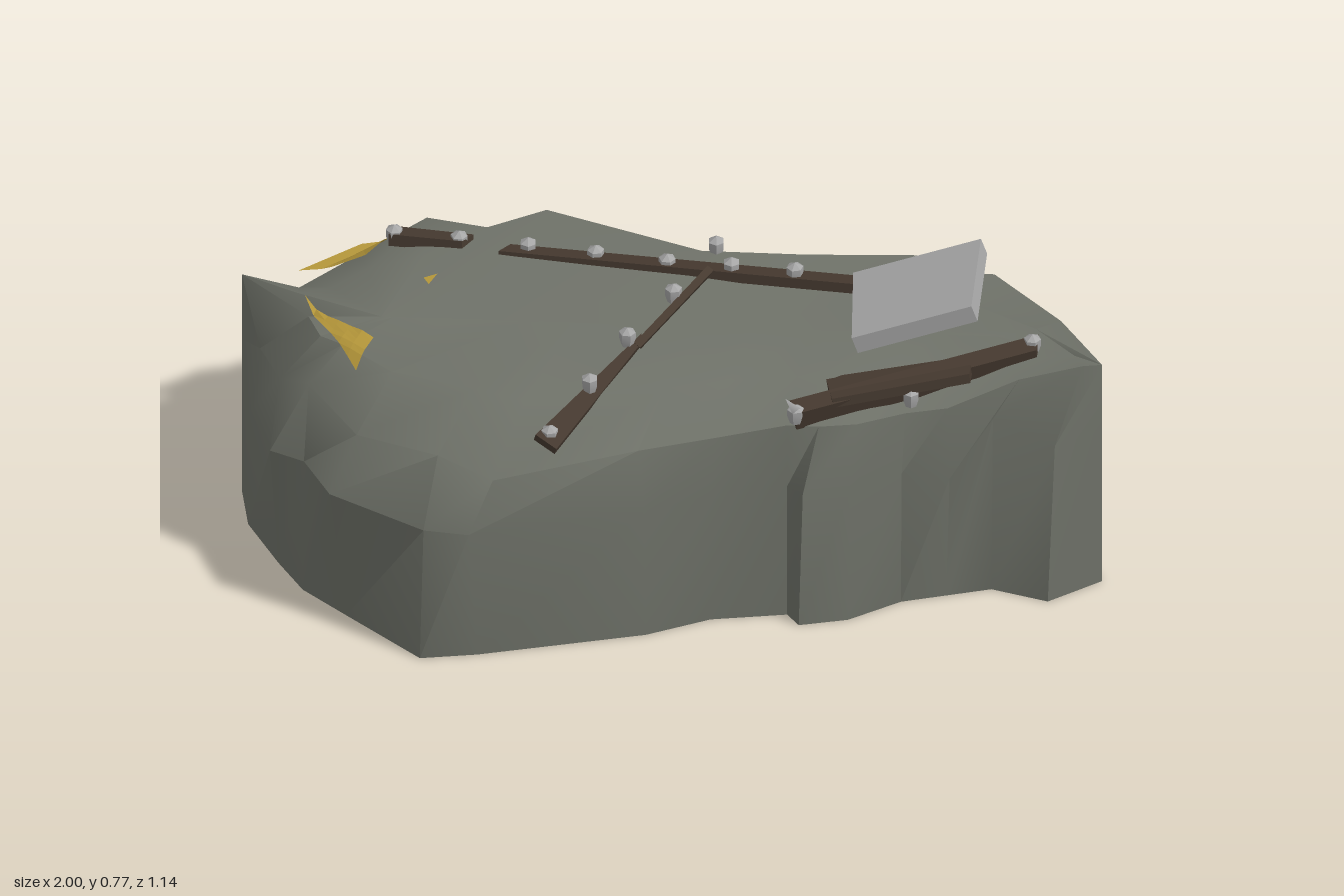
import * as THREE from 'three';
import { toCreasedNormals } from 'three/addons/utils/BufferGeometryUtils.js';

const material = (name, color, side = THREE.FrontSide) => {
  const m = new THREE.MeshStandardMaterial({ color, side });
  m.name = name;
  return m;
};
const V = (x, y, z) => new THREE.Vector3(x, y, z);

// Rock outline, anticlockwise from the left tip. Upright walls: base x, base z,
// height. Others: base x, base z, rim x, rim z, rim y (and optional bulge x, z, y)
const OUTLINE = [
  [-1, .09, .62],
  [-.94, .21, -.94, .13, .45],
  [-.82, .33, -.85, .24, .46, -.83, .36, .34],
  [-.73, .41, -.76, .29, .5],
  [-.6, .47, -.6, .4, .47, -.63, .5, .36],
  [-.38, .57, -.38, .45, .5],
  [-.26, .51, -.24, .46, .47, -.27, .54, .36],
  [.08, .3, .05, .27, .5],
  [.2, .19, .2, .16, .5],
  [.36, .11, .35, .08, .52],
  [.4, .14, .42, .06, .52],
  [.5, .08, .5, .02, .52],
  [.59, -.03, .59, -.06, .52],
  [.68, -.09, .68, -.1, .53, .7, -.06, .36],
  [.77, -.15, .82, -.2, .58, .77, -.16, .48],
  [.91, -.15, .96, -.25, .62],
  [1, -.27, .62],
  [.85, -.42, .85, -.4, .62, .75, -.57, .32],
  [.62, -.43, .64, -.52, .62, .64, -.56, .42],
  [.5, -.48, .62],
  [.45, -.53, .62],
  [.2, -.44, .62],
  [-.03, -.37, .62],
  [-.43, -.41, .61],
  [-.54, -.31, .6],
  [-.67, -.31, -.69, -.31, .59, -.77, -.32, .38],
  [-.86, -.23, -.82, -.21, .52],
  [-.94, -.08, -.91, -.05, .51],
];

// Closed rock: base centre, base, bulge, rim, inner top, spine
function rockGeometry() {
  const columns = OUTLINE.map((row) => {
    const [bx, bz] = row;
    const [sx, sz, sy, mx, mz, my] = row.length === 3 ? row : row.slice(2);
    const x = THREE.MathUtils.clamp(bx * .85, -.65, .8);
    const spine = V(x, .595, -.1 - .31 * x);
    const base = V(bx, 0, bz), rim = V(sx, sy, sz);
    const bulge = mx === undefined
      ? V(bx * .8 + sx * .2, sy * .7, bz * .8 + sz * .2) : V(mx, my, mz);
    const inner = rim.clone().lerp(spine, .4);
    inner.y = rim.y + (.6 - rim.y) * .75;
    return [V(x, 0, spine.z), base, bulge, rim, inner, spine];
  });
  const points = [];
  const tri = (a, b, c) => {
    const area = b.clone().sub(a).cross(c.clone().sub(a)).length();
    if (area > 1e-7) points.push(a, b, c);
  };
  columns.forEach((a, i) => {
    const b = columns[(i + 1) % columns.length];
    for (let k = 0; k < 5; k++) {
      tri(a[k], b[k], b[k + 1]);
      tri(a[k], b[k + 1], a[k + 1]);
    }
  });
  const g = new THREE.BufferGeometry().setFromPoints(points);
  return toCreasedNormals(g, .6);
}

export function createModel() {
  const model = new THREE.Group();
  model.name = 'rockLedge';
  const stone = material('mossy grey stone', 0x6f7269);
  const wood = material('dark weathered wood', 0x45392f);
  const pale = material('pale grey stone', 0xa6a6a6);
  const gold = material('ochre', 0xb5973a, THREE.DoubleSide);

  const add = (name, geometry, mat) => {
    const mesh = new THREE.Mesh(geometry, mat);
    mesh.name = name;
    model.add(mesh);
    return mesh;
  };

  const rock = add('rock', rockGeometry(), stone);
  rock.updateMatrixWorld(true);
  const ray = new THREE.Raycaster();
  const ground = (x, z) => {
    ray.set(V(x, 2, z), V(0, -1, 0));
    const hit = ray.intersectObject(rock)[0];
    return hit ? hit.point.y : 0;
  };

  // Box running from a to b, rolled about its length, narrowed at the far end
  const plank = (name, a, b, width, height, roll = 0, taper = 1, mat = wood) => {
    const from = V(...a), to = V(...b);
    const length = from.distanceTo(to);
    const g = new THREE.BoxGeometry(length, height, width);
    const p = g.attributes.position;
    for (let i = 0; i < p.count; i++) {
      if (p.getX(i) > 0) {
        p.setZ(i, p.getZ(i) * taper);
        p.setX(i, p.getX(i) - (p.getZ(i) > 0 ? .02 : 0));
      }
    }
    g.computeVertexNormals();
    const dir = to.clone().sub(from).normalize();
    const side = dir.clone().cross(V(0, 1, 0)).normalize();
    const up = side.clone().cross(dir);
    const mesh = add(name, g, mat);
    mesh.quaternion.setFromRotationMatrix(new THREE.Matrix4().makeBasis(dir, up, side));
    mesh.rotateX(roll);
    mesh.position.copy(from).add(to).multiplyScalar(.5);
  };

  // Broken planks lying across the top
  plank('longPlank', [.39, .625, -.37], [-.48, .595, -.235], .045, .025, .15, .9);
  plank('shortPlank', [-.74, .6, -.2], [-.55, .6, -.235], .045, .03, -.15, .9);
  plank('crossPlankBack', [.01, .615, -.3], [-.05, .6, .02], .04, .018, 1.1, .6);
  plank('crossPlankFront', [-.14, .545, .38], [-.045, .605, -.02], .06, .02, .35, .25);
  plank('edgePlank', [.36, .545, .07], [.84, .605, -.3], .045, .055, .2);
  plank('edgePlankInner', [.42, .57, -.01], [.72, .6, -.18], .1, .025, -.1, .8);

  // Tilted slab
  plank('slab', [.405, .65, -.225], [.685, .75, -.325], .26, .045, 0, 1, pale);

  // Splinter standing at the edge plank's end
  const splinter = add('splinter', new THREE.ConeGeometry(.022, .15, 3), pale);
  splinter.position.set(.37, .59, .1);
  splinter.rotation.x = .7;

  // Faceted pegs: short hexagonal stud with a pointed cap
  const peg = new THREE.LatheGeometry(
    [[0, -.03], [.014, -.025], [.02, -.005], [.02, .012], [0, .024]]
      .map(([r, y]) => new THREE.Vector2(r, y)), 6);
  const pegGeometry = toCreasedNormals(peg, .3);
  const PEGS = [
    [-.73, .61, -.2], [-.58, .61, -.23], [-.42, .61, -.26], [-.26, .615, -.28],
    [-.09, .62, -.3], [.06, .63, -.325], [.21, .64, -.345], [.37, .64, -.365],
    [0, .635, -.385], [-.03, .63, -.18], [-.07, .63, .02], [-.1, .605, .19],
    [-.14, .555, .35], [.82, .625, -.29], [.6, .565, -.07], [.37, .56, .08],
  ];
  PEGS.forEach(([x, y, z], i) => {
    const mesh = add('peg', pegGeometry, pale);
    mesh.position.set(x, y, z);
    mesh.rotation.set(0, i * .7, 0);
  });

  // Ochre flakes: flat shards split into strips that clear the surface
  const flake = (corners, lift) => {
    const [a, b, c] = corners.map(([x, z]) => V(x, 0, z));
    const n = 6;
    const at = (i, j) => {
      const p = a.clone().addScaledVector(b.clone().sub(a), i / n)
        .addScaledVector(c.clone().sub(a), j / n);
      p.y = Math.max(ground(p.x, p.z) + lift, .52);
      return p;
    };
    const tris = [];
    for (let i = 0; i < n; i++) {
      for (let j = 0; i + j < n; j++) {
        tris.push(at(i, j), at(i + 1, j), at(i, j + 1));
        if (i + j < n - 1) tris.push(at(i + 1, j), at(i + 1, j + 1), at(i, j + 1));
      }
    }
    // Corners run anticlockwise from above, so the faces point up
    const g = new THREE.BufferGeometry().setFromPoints(tris);
    g.computeVertexNormals();
    add('ochreFlake', g, gold);
  };
  flake([[-.84, .1], [-.65, .27], [-.64, .18]], .012);
  flake([[-.93, -.1], [-.79, -.17], [-.83, -.25]], .008);
  flake([[-.83, -.25], [-.79, -.17], [-.75, -.3]], .008);
  flake([[-.605, -.06], [-.585, -.04], [-.58, -.085]], .012);

  return model;
}
